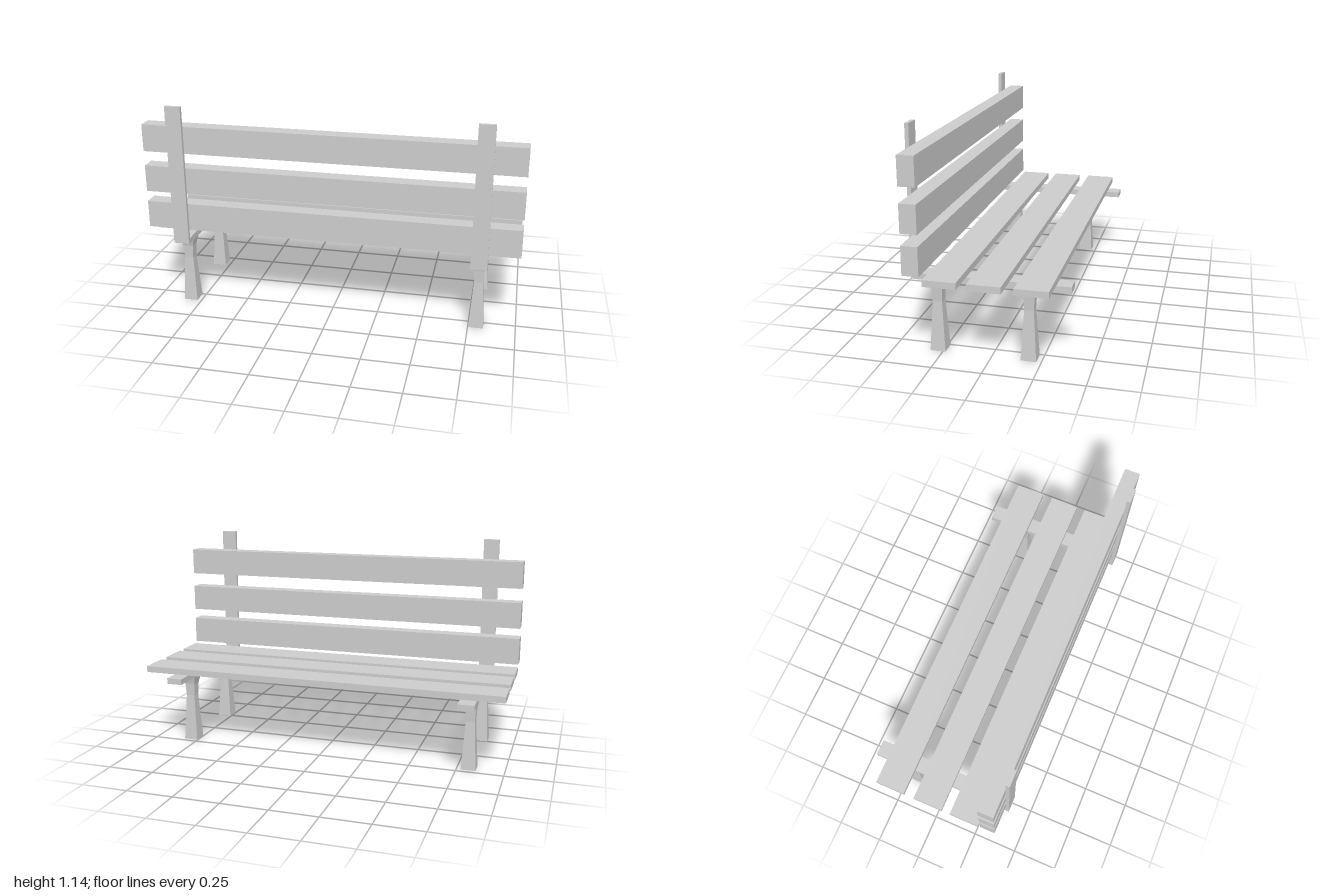
import * as THREE from 'three';

const material = new THREE.MeshStandardMaterial({ color: 0xcccccc, flatShading: true });

function add(parent, name, geometry, x = 0, y = 0, z = 0) {
  const mesh = new THREE.Mesh(geometry, material);
  mesh.name = name;
  mesh.position.set(x, y, z);
  parent.add(mesh);
}

// L-shaped bracket: thin upright post joined to the rail under the seat
function bracketGeometry(width) {
  const outline = [
    [0.4, 0.38], [0.4, 1.145], [0.38, 1.145], [0.38, 0.407],
    [-0.395, 0.407], [-0.395, 0.375], [0.38, 0.375],
  ];
  const shape = new THREE.Shape(outline.map(([z, y]) => new THREE.Vector2(z, y)));
  const geometry = new THREE.ExtrudeGeometry(shape, { depth: width, bevelEnabled: false });
  return geometry.translate(0, 0, -width / 2).rotateY(-Math.PI / 2);
}

// Square leg with a narrow waist, given as half-width and height
function legGeometry() {
  const profile = [[0, 0], [0.039, 0], [0.024, 0.26], [0.028, 0.33], [0.039, 0.376], [0, 0.376]];
  const points = profile.map(([half, y]) => new THREE.Vector2(half * Math.SQRT2, y));
  return new THREE.LatheGeometry(points, 4, Math.PI / 4);
}

export function createModel() {
  const bench = new THREE.Group();
  bench.name = 'bench';

  // Seat slats, front to back
  for (const z of [-0.24, -0.016, 0.199]) {
    add(bench, 'seatSlat', new THREE.BoxGeometry(2, 0.034, 0.165), 0, 0.428, z);
  }

  // Thick backrest slats
  for (const [bottom, top] of [[0.457, 0.605], [0.663, 0.808], [0.888, 1.035]]) {
    add(bench, 'backSlat', new THREE.BoxGeometry(2, top - bottom, 0.084), 0, (bottom + top) / 2, 0.337);
  }

  // Brackets and legs at both ends
  const bracket = bracketGeometry(0.085);
  const leg = legGeometry();
  for (const [x, rearZ] of [[-0.8125, 0.289], [0.7925, 0.275]]) {
    add(bench, 'supportBracket', bracket, x);
    add(bench, 'frontLeg', leg, x, 0, -0.186);
    add(bench, 'rearLeg', leg, x, 0, rearZ);
  }
  return bench;
}
